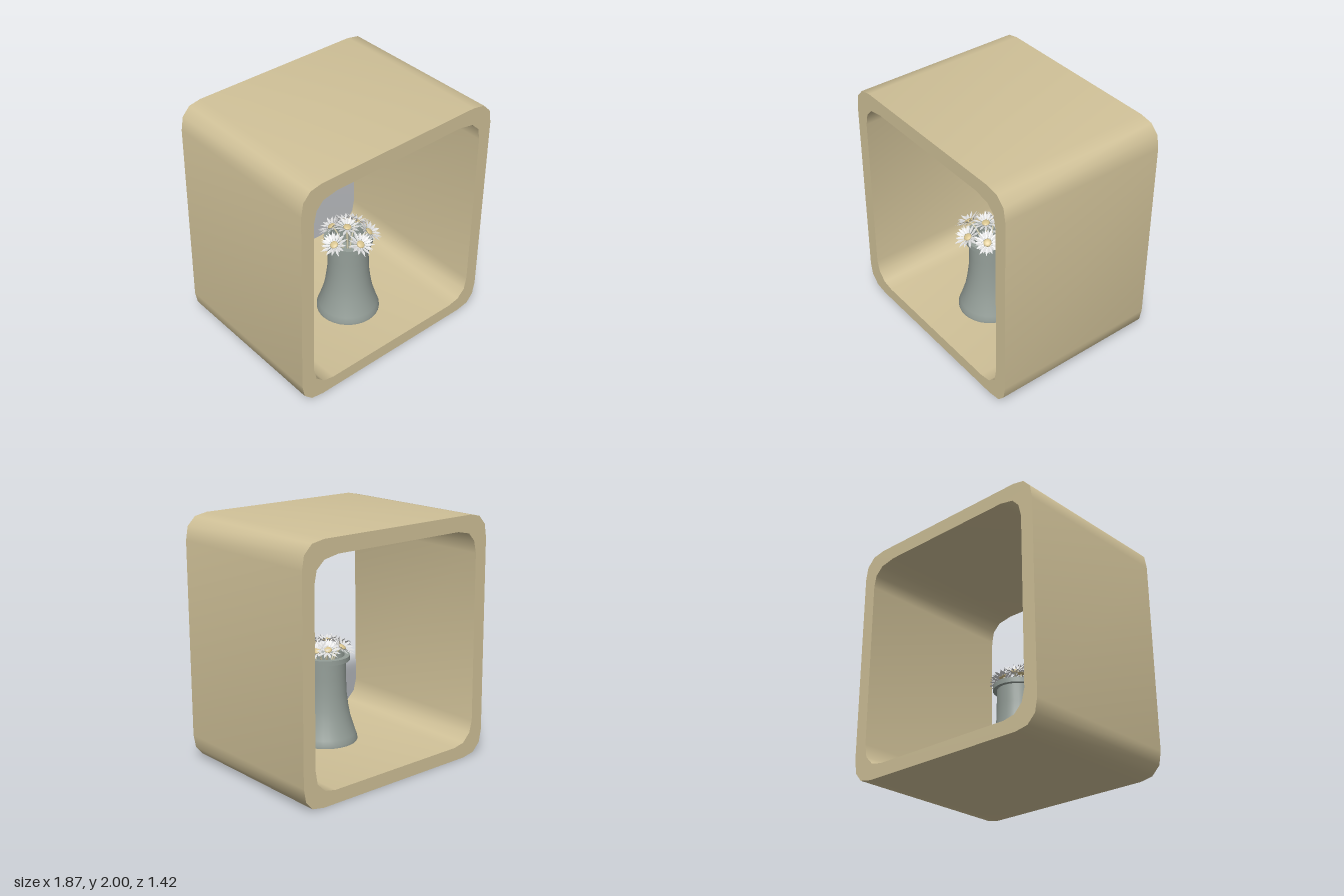
import * as THREE from 'three';
import { mergeGeometries, toCreasedNormals } from 'three/addons/utils/BufferGeometryUtils.js';

const material = (name, color, side = THREE.FrontSide) => {
  const m = new THREE.MeshStandardMaterial({ color, side });
  m.name = name;
  return m;
};
const wood = material('pale wood', 0xd0c198);
const ceramic = material('grey green ceramic', 0x949e98);
const white = material('petal white', 0xdedede, THREE.DoubleSide);
const yellow = material('flower centre tan', 0xd8c48e);
const cream = material('stem cream', 0xd6d0b0);

const part = (name, geometry, mat) => {
  const m = new THREE.Mesh(geometry, mat);
  m.name = name;
  return m;
};
const points = (list) => list.map(([x, y]) => new THREE.Vector2(x, y));

// Open box shelf with rounded corners and a slightly leaning left wall
function createFrame() {
  const shape = new THREE.Shape(points([
    [-0.73, 2], [-0.83, 1.98], [-0.895, 1.91], [-0.915, 1.8],
    [-0.94, 0.2], [-0.92, 0.09], [-0.85, 0.02], [-0.74, 0],
    [0.74, 0], [0.85, 0.02], [0.91, 0.09], [0.93, 0.2],
    [0.93, 1.8], [0.91, 1.91], [0.84, 1.98], [0.73, 2],
  ]));
  shape.holes.push(new THREE.Path(points([
    [-0.6, 1.88], [0.6, 1.88], [0.73, 1.855], [0.8, 1.79],
    [0.82, 1.69], [0.82, 0.31], [0.8, 0.2], [0.73, 0.13],
    [0.63, 0.11], [-0.63, 0.11], [-0.73, 0.13], [-0.8, 0.2],
    [-0.825, 0.3], [-0.805, 1.69], [-0.78, 1.79], [-0.72, 1.855],
  ])));
  const g = new THREE.ExtrudeGeometry(shape, { depth: 1.42, bevelEnabled: false });
  g.translate(0, 0, -0.71);
  return part('shelfFrame', toCreasedNormals(g, 0.75), wood);
}

// Flared hollow vase with a rim band
function createVase() {
  const profile = points([
    [0, 0.11], [0.26, 0.11], [0.26, 0.13], [0.245, 0.17], [0.204, 0.3],
    [0.185, 0.4], [0.17, 0.52], [0.166, 0.65], [0.166, 0.79], [0.197, 0.79],
    [0.197, 0.83], [0.155, 0.83], [0.15, 0.65], [0, 0.62],
  ]);
  const vase = part('vase', toCreasedNormals(new THREE.LatheGeometry(profile, 32), 0.6), ceramic);
  vase.position.set(0.005, 0, 0.145);
  return vase;
}

// Slim folded petal lying along +x, lifted towards its tip
function petalGeometry(length, width, lift) {
  const at = (t, side, drop = 0) => [0.02 + t * (length - 0.02), lift * t - drop, side * width];
  const row = [at(0, 0), at(0.6, 1), at(0.6, 0, 0.004), at(0.6, -1), at(1, 0)];
  const g = new THREE.BufferGeometry();
  g.setAttribute('position', new THREE.Float32BufferAttribute(row.flat(), 3));
  g.setIndex([0, 1, 2, 0, 2, 3, 1, 4, 2, 2, 4, 3]);
  g.computeVertexNormals();
  return g;
}

// Two staggered rings of petals
function petalRings() {
  const petals = [];
  const count = 13;
  for (const [length, lift, offset] of [[0.118, 0.012, 0], [0.105, 0.036, 0.5]]) {
    for (let i = 0; i < count; i++) {
      const p = petalGeometry(length * (1 - 0.06 * (i % 3)), 0.0115, lift + 0.008 * (i % 2));
      p.rotateY(((i + offset) / count) * Math.PI * 2);
      petals.push(p);
    }
  }
  return mergeGeometries(petals);
}

// Daisy head turned along its normal, on a curved stem into the vase
function createDaisy(petals, centre, position, normal, spin) {
  const daisy = new THREE.Group();
  daisy.name = 'daisy';
  const head = new THREE.Group();
  head.name = 'flowerHead';
  const facing = new THREE.Vector3(...normal).normalize();
  head.position.set(...position);
  head.quaternion.setFromUnitVectors(new THREE.Vector3(0, 1, 0), facing);
  head.rotateY(spin);
  head.add(part('petals', petals, white), part('flowerCentre', centre, yellow));

  const top = head.position;
  const path = new THREE.QuadraticBezierCurve3(
    new THREE.Vector3(top.x * 0.2, 0.64, 0.145 + (top.z - 0.145) * 0.2),
    new THREE.Vector3(top.x * 0.5, 0.86, 0.145 + (top.z - 0.145) * 0.5),
    top.clone(),
  );
  daisy.add(head, part('stem', new THREE.TubeGeometry(path, 8, 0.007, 6), cream));
  return daisy;
}

export function createModel() {
  const model = new THREE.Group();
  model.name = 'shelfWithVase';
  model.add(createFrame(), createVase());

  const petals = petalRings();
  const centre = new THREE.SphereGeometry(0.033, 14, 8);
  centre.scale(1, 0.4, 1);
  centre.translate(0, 0.006, 0);
  const daisies = [
    [[-0.03, 0.875, 0.33], [0, 0.85, 0.5]],
    [[0.125, 0.88, 0.255], [0.45, 0.8, 0.4]],
    [[-0.19, 0.875, 0.2], [-0.45, 0.85, 0.12]],
    [[0.13, 0.89, 0.1], [0.45, 0.85, -0.1]],
    [[-0.07, 0.9, 0.03], [-0.3, 0.85, -0.45]],
    [[0.07, 0.9, 0.04], [0.25, 0.85, -0.4]],
    [[-0.02, 0.94, 0.16], [0, 1, 0.1]],
  ];
  daisies.forEach(([position, normal], i) => {
    model.add(createDaisy(petals, centre, position, normal, i * 0.7));
  });
  return model;
}
